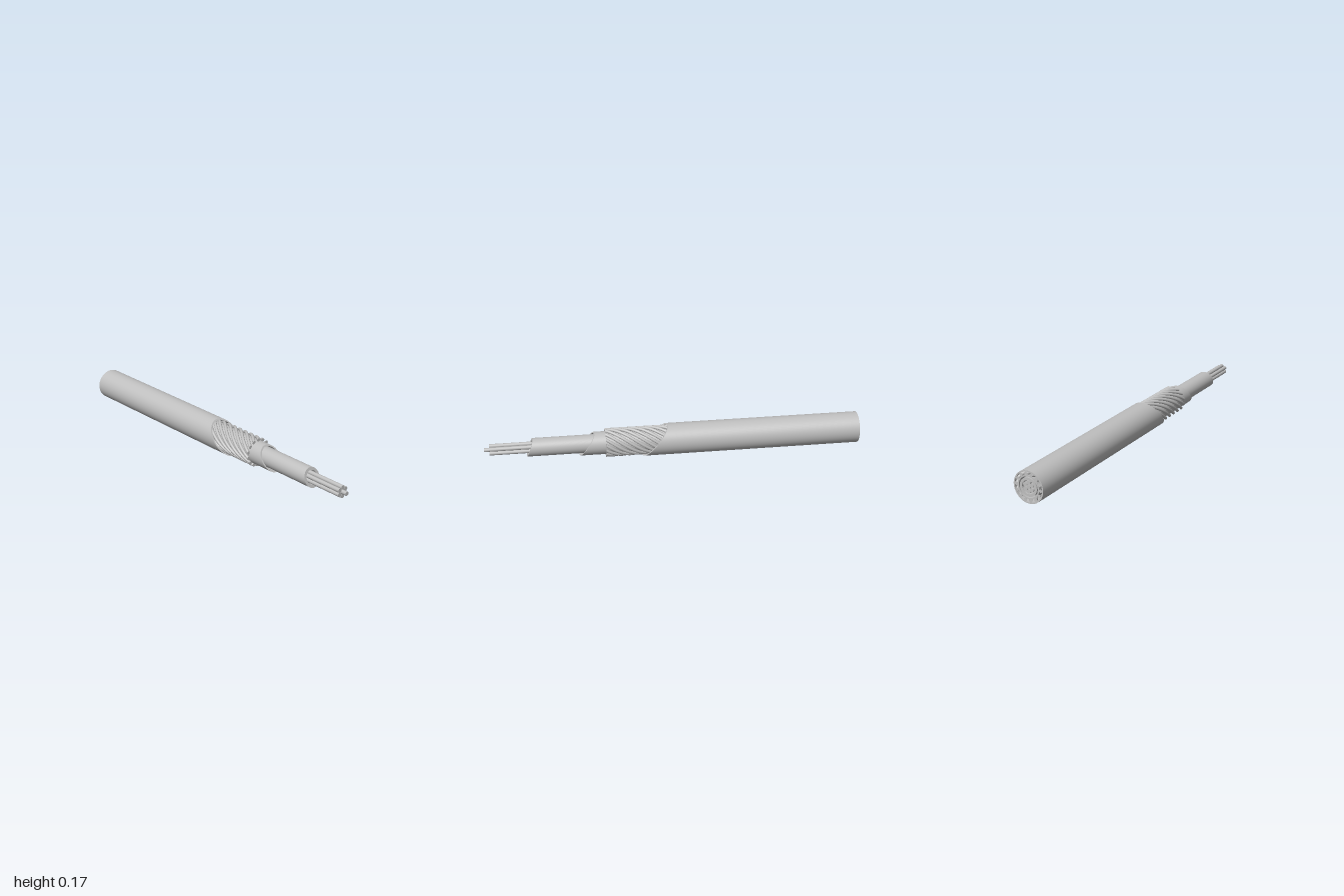
import * as THREE from 'three';
import { toCreasedNormals } from 'three/addons/utils/BufferGeometryUtils.js';

const AXIS_Y = 0.0835, BACK = -1;

export function createModel() {
  const group = new THREE.Group();
  const grey = new THREE.MeshStandardMaterial({ color: 0xbfbfbf });
  grey.name = 'light grey';

  // Lays a z-extruded geometry along x and smooths it; creases are found at a larger scale
  function add(name, geometry) {
    geometry.rotateY(Math.PI / 2).scale(100, 100, 100);
    const smooth = toCreasedNormals(geometry, 0.8).scale(0.01, 0.01, 0.01);
    const mesh = new THREE.Mesh(smooth, grey);
    mesh.name = name;
    mesh.position.set(BACK, AXIS_Y, 0);
    group.add(mesh);
  }

  // Hollow sleeve whose front end is cut on a slant, longer at the bottom
  function sleeve(name, outer, inner, topEnd, bottomEnd) {
    const shape = new THREE.Shape().absarc(0, 0, outer, 0, Math.PI * 2);
    shape.holes.push(new THREE.Path().absarc(0, 0, inner, 0, Math.PI * 2, true));
    const geo = new THREE.ExtrudeGeometry(shape, { depth: 1, bevelEnabled: false, curveSegments: 32 });
    const p = geo.attributes.position;
    for (let i = 0; i < p.count; i++) {
      const t = 0.5 - p.getY(i) / (2 * outer);
      p.setZ(i, p.getZ(i) * (topEnd + (bottomEnd - topEnd) * t - BACK));
    }
    add(name, geo);
  }

  // Solid rod at a given distance and angle from the axis, optionally twisted around it
  function rod(name, radius, distance, angle, end, twist = 0) {
    const stretch = Math.hypot(1, twist * distance);
    const shape = new THREE.Shape().absellipse(distance, 0, radius, radius * stretch, 0, Math.PI * 2);
    const geo = new THREE.ExtrudeGeometry(shape, {
      depth: end - BACK, bevelEnabled: false, steps: twist ? 100 : 1, curveSegments: twist ? 6 : 10,
    });
    const p = geo.attributes.position;
    for (let i = 0; i < p.count; i++) {
      const a = angle + twist * p.getZ(i), x = p.getX(i), y = p.getY(i);
      p.setXY(i, x * Math.cos(a) - y * Math.sin(a), x * Math.sin(a) + y * Math.cos(a));
    }
    add(name, geo);
  }

  // Nested sleeves
  sleeve('outerJacket', 0.0835, 0.0767, 0.03, 0.17);
  sleeve('innerSheath', 0.0608, 0.0535, 0.42, 0.505);
  sleeve('insulation', 0.0482, 0.0348, 0.745, 0.78);

  // Twisted armour strands between the jacket and the sheath
  const strands = 14;
  for (let i = 0; i < strands; i++) {
    rod('armourStrand', 0.008, 0.0685, (i / strands) * Math.PI * 2 + 0.06, 0.365, 10);
  }

  // Conductor core: six wires around a longer centre wire
  for (let i = 0; i < 6; i++) {
    rod('conductorWire', 0.0108, 0.0218, (i / 6) * Math.PI * 2 + Math.PI / 6, 0.972);
  }
  rod('centreWire', 0.0108, 0, 0, 1);

  return group;
}
